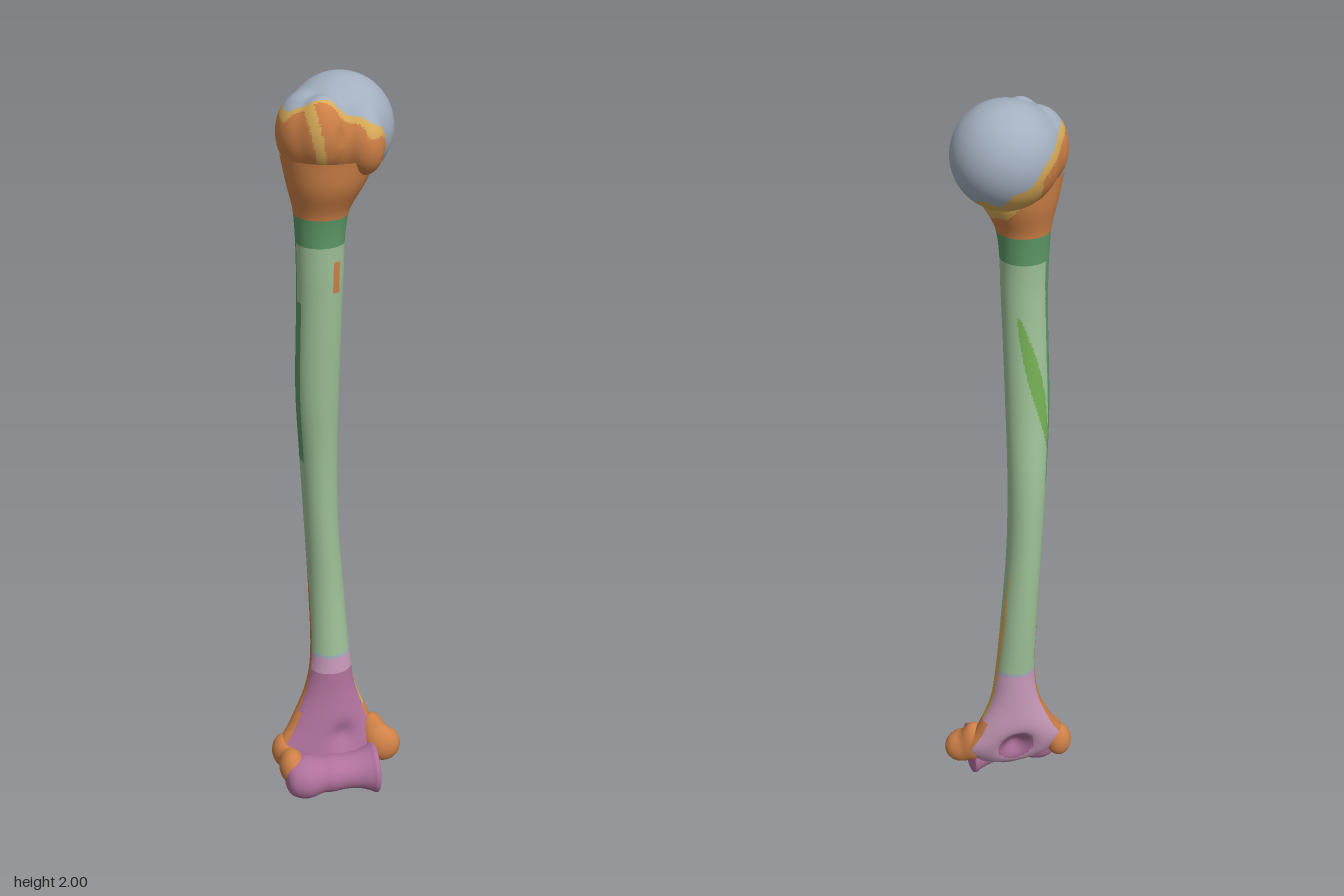
import * as THREE from 'three';

const palette = {
  jointGrey: 0xa3afbf, yellow: 0xd9ab58, orange: 0xcf8147, darkGreen: 0x5f9a68,
  paleGreen: 0x9fc298, leafGreen: 0x74b054, purple: 0xb0719c, pink: 0xcb9cbc,
};
const names = Object.keys(palette);
const [GREY, YELLOW, ORANGE, DARK, PALE, LEAF, PURPLE, PINK] = names.keys();

// Shaft cross-sections: y, min x, max x, min z, max z
const sections = [
  [0.03, -0.05, 0.03, 0.02, 0.06],
  [0.07, -0.13, 0.09, -0.02, 0.06],
  [0.13, -0.162, 0.13, -0.052, 0.045],
  [0.2, -0.125, 0.098, -0.073, 0.035],
  [0.3, -0.08, 0.06, -0.08, 0.02],
  [0.4, -0.063, 0.045, -0.085, 0.015],
  [0.6, -0.065, 0.03, -0.095, 0.005],
  [0.8, -0.075, 0.015, -0.096, 0.01],
  [1.0, -0.087, 0.01, -0.09, 0.02],
  [1.2, -0.1, 0.01, -0.068, 0.04],
  [1.5, -0.1, 0.015, -0.046, 0.065],
  [1.67, -0.106, 0.026, -0.055, 0.078],
  [1.75, -0.124, 0.066, -0.078, 0.11],
  [1.82, -0.138, 0.1, -0.09, 0.122],
];

// Smooth interpolation between the cross-sections
function sectionAt(y) {
  const last = sections.length - 1;
  let i = 0;
  while (i < last - 1 && y > sections[i + 1][0]) i++;
  const p = sections[Math.max(i - 1, 0)], a = sections[i], b = sections[i + 1], q = sections[Math.min(i + 2, last)];
  const h = b[0] - a[0], t = THREE.MathUtils.clamp((y - a[0]) / h, 0, 1);
  const [x0, x1, z0, z1] = [1, 2, 3, 4].map((k) => {
    const m0 = (b[k] - p[k]) / (b[0] - p[0]) * h, m1 = (q[k] - a[k]) / (q[0] - a[0]) * h;
    return a[k] * (2 * t ** 3 - 3 * t * t + 1) + m0 * (t ** 3 - 2 * t * t + t)
      + b[k] * (3 * t * t - 2 * t ** 3) + m1 * (t ** 3 - t * t);
  });
  return { cx: (x0 + x1) / 2, cz: (z0 + z1) / 2, rx: (x1 - x0) / 2, rz: (z1 - z0) / 2 };
}

// Colour regions of the upper end
function paintUpper(p) {
  const wobble = 0.008 * Math.sin(p.x * 75 + p.z * 50);
  const limit = 1.785 + 0.85 * Math.max(0, 0.05 - p.x) + 0.13 * THREE.MathUtils.smoothstep(p.z, 0.05, 0.12) + wobble;
  if (p.y > Math.min(limit, 1.965)) return GREY;
  const band = p.z < 0.03 && p.x > -0.05 ? 0.08 : 0.03;
  if (p.y > limit - band) return YELLOW;
  if (p.z > 0.06 && Math.abs(p.x + 0.075 - (1.9 - p.y) * 0.2) < 0.012 && p.y > 1.82) return YELLOW;
  return ORANGE;
}

// Colour regions of the whole bone
function paintBone(p) {
  const { y } = p;
  if (y > 1.67) return paintUpper(p);
  if (y > 1.6) return DARK;
  const s = sectionAt(y);
  const u = (p.x - s.cx) / s.rx, w = (p.z - s.cz) / s.rz;
  let deg = THREE.MathUtils.radToDeg(Math.atan2(w, u));
  const medialDeg = deg;
  if (deg > 90) deg -= 360; // lateral side is -180, back is -90
  if (y < 0.24 && Math.abs(u) > 0.88) return ORANGE;
  if (y < 0.75) {
    const fade = Math.min(1, (0.75 - y) / 0.2);
    if (Math.abs(deg + 172) < 20 * fade) return ORANGE;
    if (y > 0.18 && Math.abs(medialDeg + 25 - (0.75 - y) * 65) < 13 * fade) return YELLOW;
  }
  if (y < 0.41) {
    const fossa = Math.hypot((p.x + 0.01) / 0.05, (y - 0.14) / 0.065) < 1;
    return y > 0.365 || (w < -0.1 && !fossa) ? PINK : PURPLE;
  }
  if (y < 0.42) return GREY;
  if (y > 1.05 && y < 1.46) {
    const f = (1.46 - y) / 0.41;
    if (Math.abs(deg + 60 + 95 * f) < 20 * Math.sin(Math.PI * Math.min(1, f + 0.08))) return LEAF;
  }
  if (y > 1 && deg < -135 - 20 * (1.6 - y) && deg > (y > 1.45 ? -185 : -208)) return DARK;
  if (y > 1.48 && y < 1.56 && p.z > s.cz && Math.abs(p.x + 0.012) < 0.009) return ORANGE;
  return PALE;
}

// Closed-around grid surface, grouped by colour region
function gridSurface(nu, nv, pointAt, paint, mats, name) {
  const pts = [], buckets = names.map(() => []);
  for (let j = 0; j <= nv; j++) for (let i = 0; i < nu; i++) pts.push(pointAt(i / nu * Math.PI * 2, j / nv));
  const mid = new THREE.Vector3();
  const add = (a, b, c) => {
    mid.copy(pts[a]).add(pts[b]).add(pts[c]).divideScalar(3);
    buckets[paint(mid)].push(a, b, c);
  };
  for (let j = 0; j < nv; j++) {
    for (let i = 0; i < nu; i++) {
      const k = (i + 1) % nu, a = j * nu + i, b = j * nu + k;
      add(a, a + nu, b);
      add(b, a + nu, b + nu);
    }
  }
  const geo = new THREE.BufferGeometry().setFromPoints(pts);
  geo.setIndex(buckets.flat());
  let start = 0;
  buckets.forEach((list, m) => {
    if (list.length) geo.addGroup(start, list.length, m);
    start += list.length;
  });
  geo.computeVertexNormals();
  const mesh = new THREE.Mesh(geo, mats);
  mesh.name = name;
  return mesh;
}

// Smoothly merged ellipsoids [cx,cy,cz, rx,ry,rz], skinned outward from a centre
function blob(center, lumps, carve, blend, nu, nv, paint, mats, name) {
  const c = new THREE.Vector3(...center), p = new THREE.Vector3();
  const field = () => {
    let sum = 0;
    for (const [x, y, z, rx, ry, rz] of lumps) {
      const d = (Math.hypot((p.x - x) / rx, (p.y - y) / ry, (p.z - z) / rz) - 1) * Math.min(rx, ry, rz);
      sum += Math.exp(-d / blend);
    }
    return Math.max(-blend * Math.log(sum), carve ? carve(p) : -1);
  };
  const skin = (angle, v) => {
    const lat = (v - 0.5) * Math.PI;
    const d = new THREE.Vector3(Math.cos(lat) * Math.cos(angle), Math.sin(lat), Math.cos(lat) * Math.sin(angle));
    const inside = (t) => field(p.copy(c).addScaledVector(d, t)) < 0;
    let far = 0.3;
    while (far > 0.01 && !inside(far)) far -= 0.006;
    let lo = far, hi = far + 0.006;
    for (let n = 0; n < 8; n++) {
      const m = (lo + hi) / 2;
      if (inside(m)) lo = m; else hi = m;
    }
    return c.clone().addScaledVector(d, lo);
  };
  return gridSurface(nu, nv, skin, paint, mats, name);
}

export function createModel() {
  const model = new THREE.Group();
  model.name = 'upperArmBone';
  const mats = names.map((n) => {
    const m = new THREE.MeshStandardMaterial({ color: palette[n] });
    m.name = n;
    return m;
  });

  // Shaft, flaring at both ends, with hollows front and back above the elbow
  const shaftPoint = (angle, v) => {
    const y = 0.03 + 1.79 * v, s = sectionAt(y), sn = Math.sin(angle);
    const x = s.cx + s.rx * Math.cos(angle);
    let z = s.cz + s.rz * sn;
    const hollow = (cx, cy, w, h) => Math.exp(-(((x - cx) / w) ** 2) - ((y - cy) / h) ** 2);
    if (sn < 0) z -= 0.045 * sn * hollow(-0.01, 0.14, 0.04, 0.045);
    else z -= 0.018 * sn * hollow(0.015, 0.17, 0.035, 0.035);
    return new THREE.Vector3(x, y, z);
  };
  model.add(gridSurface(80, 300, shaftPoint, paintBone, mats, 'shaft'));

  // Round head and the two knobs beside it, parted by a groove
  const groove = (p) => 0.021 - Math.hypot(p.x + 0.006, p.z - 0.139);
  model.add(blob([-0.01, 1.86, 0.01], [
    [0.011, 1.87, -0.014, 0.129, 0.129, 0.129],
    [-0.077, 1.87, 0.02, 0.07, 0.095, 0.085],
    [-0.05, 1.885, 0.08, 0.055, 0.085, 0.055],
    [0.05, 1.855, 0.08, 0.046, 0.075, 0.055],
  ], groove, 0.006, 120, 90, paintUpper, mats, 'headAndTubercles'));

  // Bony bumps on both sides of the elbow
  const orange = () => ORANGE;
  model.add(blob([0.115, 0.12, 0.02], [
    [0.13, 0.12, 0.025, 0.046, 0.05, 0.034],
    [0.1, 0.15, 0.0, 0.035, 0.06, 0.03],
  ], null, 0.008, 40, 28, orange, mats, 'medialEpicondyle'));
  model.add(blob([-0.135, 0.11, 0.02], [
    [-0.142, 0.115, -0.015, 0.035, 0.05, 0.035],
    [-0.133, 0.1, 0.045, 0.035, 0.05, 0.04],
  ], null, 0.008, 40, 28, orange, mats, 'lateralEpicondyle'));

  // Spool-shaped elbow joint lying along x
  const spool = [[0, -0.155], [0.03, -0.152], [0.05, -0.138], [0.061, -0.11], [0.06, -0.085], [0.052, -0.055],
    [0.053, -0.03], [0.05, 0.01], [0.053, 0.045], [0.063, 0.075], [0.07, 0.09], [0.062, 0.1], [0, 0.104]];
  const curve = new THREE.SplineCurve(spool.map(([r, x]) => new THREE.Vector2(r, x)));
  const profile = curve.getPoints(60).map((q) => new THREE.Vector2(Math.max(q.x, 0), q.y));
  const joint = new THREE.Mesh(new THREE.LatheGeometry(profile, 56), mats[PURPLE]);
  joint.name = 'elbowJoint';
  joint.rotation.z = -Math.PI / 2;
  joint.position.set(0, 0.073, 0.06);
  model.add(joint);

  return model;
}
